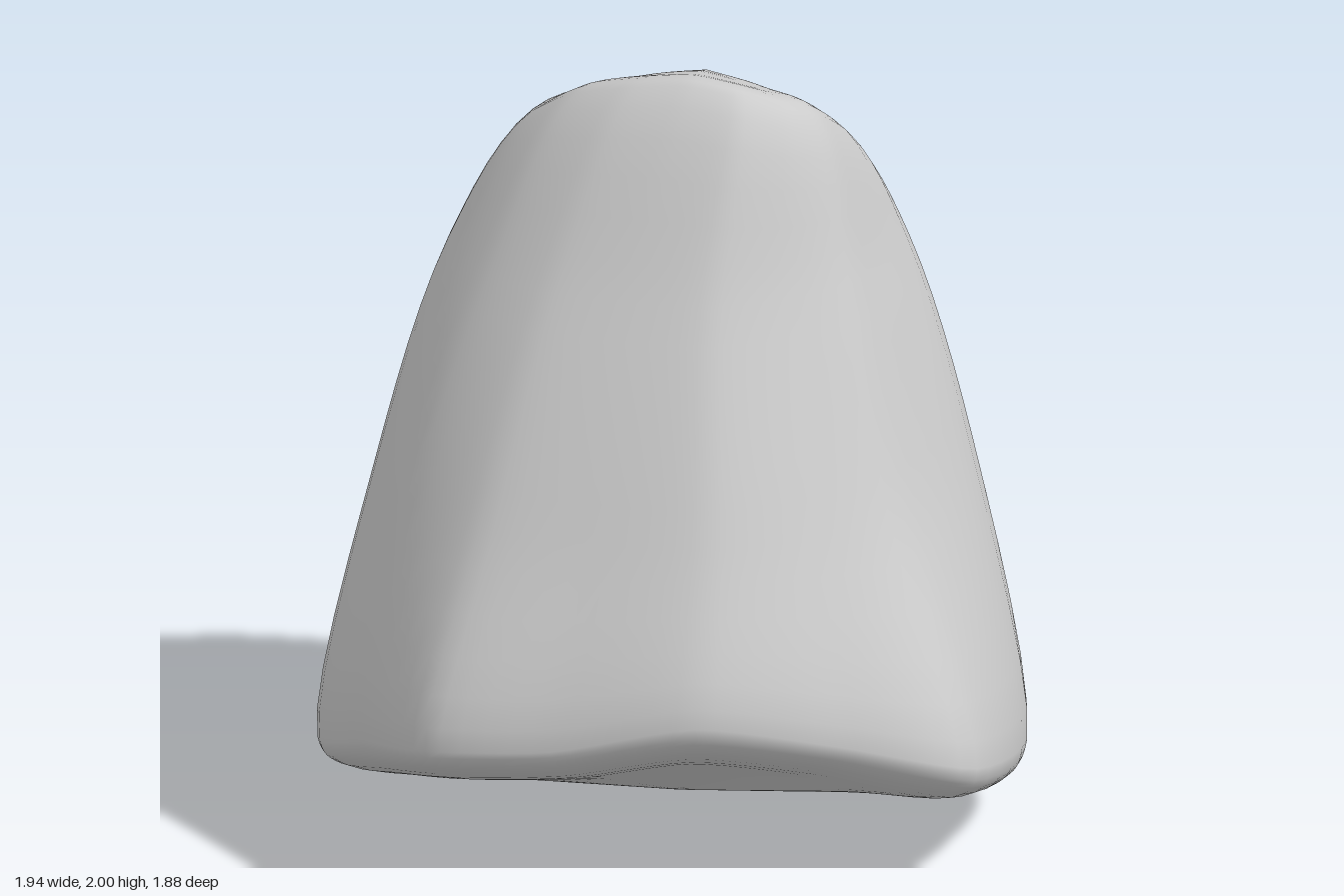
import * as THREE from 'three';

const SIDES = 72, ROWS = 48;

// Twelve corners [x, y, z] per ring, running from +x towards +z
const lowerEdge = [
  [0.92, 0.28, 0.08], [0.72, 0.4, 0.39], [0.48, 0.46, 0.64], [0.17, 0.39, 0.78],
  [-0.12, 0.35, 0.86], [-0.4, 0.27, 0.73], [-0.67, 0.18, 0.54], [-0.91, 0.1, -0.02],
  [-0.74, 0.04, -0.37], [-0.53, 0.01, -0.61], [0.04, 0.02, -0.85], [0.62, 0.11, -0.54],
];
const rim = [
  [0.97, 0.36, 0.09], [0.76, 0.47, 0.41], [0.51, 0.54, 0.67], [0.18, 0.46, 0.83],
  [-0.13, 0.43, 0.935], [-0.43, 0.35, 0.78], [-0.7, 0.25, 0.59], [-0.97, 0.22, -0.02],
  [-0.8, 0.19, -0.41], [-0.59, 0.16, -0.68], [0.05, 0.18, -0.94], [0.66, 0.2, -0.57],
];
const waist = [
  [0.68, 0.95, 0], [0.58, 0.95, 0.3], [0.43, 0.95, 0.5], [0.16, 0.95, 0.62],
  [-0.13, 0.95, 0.7], [-0.42, 0.95, 0.61], [-0.65, 0.95, 0.41], [-0.79, 0.95, -0.05],
  [-0.72, 0.95, -0.38], [-0.53, 0.95, -0.6], [0, 0.95, -0.79], [0.49, 0.95, -0.58],
];
const upper = [
  [0.46, 1.5, -0.12], [0.4, 1.5, 0.1], [0.28, 1.5, 0.27], [0.08, 1.5, 0.36],
  [-0.13, 1.5, 0.41], [-0.35, 1.5, 0.37], [-0.56, 1.5, 0.22], [-0.69, 1.45, -0.12],
  [-0.65, 1.42, -0.37], [-0.48, 1.42, -0.57], [-0.08, 1.43, -0.71], [0.31, 1.46, -0.56],
];
const shoulder = [
  [0.29, 1.88, -0.2], [0.27, 1.93, -0.07], [0.19, 1.97, 0.02], [0.06, 1.985, 0.06],
  [-0.1, 1.96, 0.1], [-0.27, 1.91, 0.1], [-0.42, 1.82, 0.05], [-0.55, 1.74, -0.18],
  [-0.52, 1.68, -0.36], [-0.37, 1.64, -0.5], [-0.08, 1.63, -0.59], [0.21, 1.74, -0.44],
];
const bottomCentre = [0, 0.08, 0];
const capCentre = [-0.06, 1.91, -0.2];

// A ring shrunk towards a centre point, optionally raised
const shrink = (ring, centre, t, lift = 0) =>
  ring.map((p) => p.map((v, k) => centre[k] + (v - centre[k]) * t + (k === 1 ? lift : 0)));

const rings = [
  shrink(lowerEdge, bottomCentre, 0), shrink(lowerEdge, bottomCentre, 0.6), lowerEdge, rim,
  waist, upper, shoulder, shrink(shoulder, capCentre, 0.5, 0.025), shrink(shoulder, capCentre, 0, 0.02),
];

// Smooth skin through the rings, with one shared vertex at each pole
function loft() {
  const around = rings.map((r) =>
    new THREE.CatmullRomCurve3(r.map((p) => new THREE.Vector3(...p)), true, 'catmullrom', 0.37));
  const positions = [...rings[0][0], ...rings[rings.length - 1][0]];
  const index = [];
  const id = (i, j) => (j === 0 ? 0 : j === ROWS ? 1 : 2 + (i % SIDES) * (ROWS - 1) + j - 1);
  for (let i = 0; i < SIDES; i++) {
    const column = new THREE.CatmullRomCurve3(around.map((c) => c.getPoint(i / SIDES)));
    for (let j = 1; j < ROWS; j++) positions.push(...column.getPoint(j / ROWS).toArray());
    for (let j = 0; j < ROWS; j++) {
      if (j > 0) index.push(id(i, j), id(i, j + 1), id(i + 1, j));
      if (j < ROWS - 1) index.push(id(i, j + 1), id(i + 1, j + 1), id(i + 1, j));
    }
  }
  const geometry = new THREE.BufferGeometry();
  geometry.setAttribute('position', new THREE.Float32BufferAttribute(positions, 3));
  geometry.setIndex(index);
  geometry.computeVertexNormals();
  return geometry;
}

export function createModel() {
  const stone = new THREE.Mesh(loft(), new THREE.MeshStandardMaterial({ color: 0xcccccc }));
  stone.name = 'stone';
  const group = new THREE.Group();
  group.name = 'boulder';
  group.add(stone);
  return group;
}
